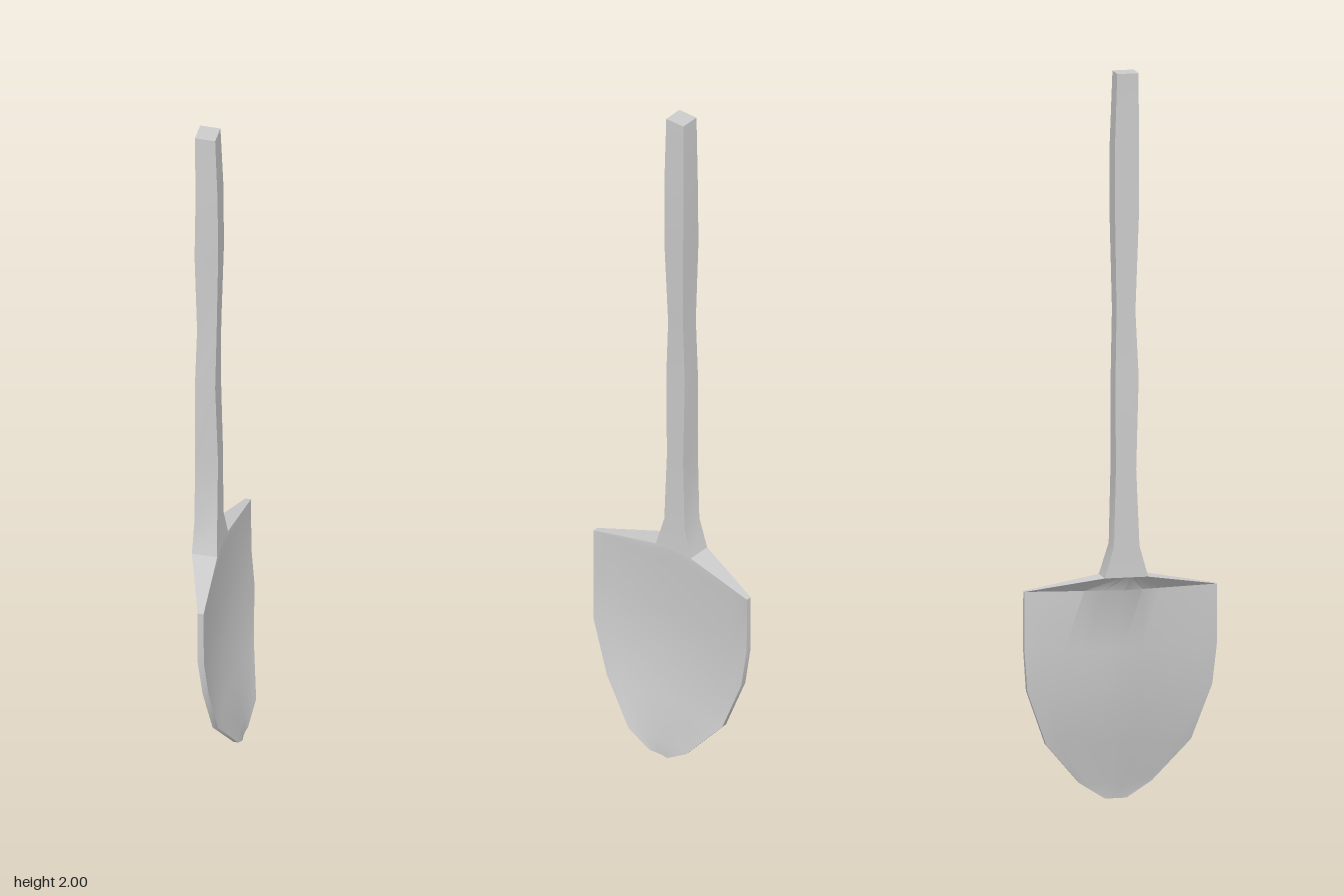
import * as THREE from 'three';
import { toCreasedNormals } from 'three/addons/utils/BufferGeometryUtils.js';

const material = new THREE.MeshStandardMaterial({ color: 0xcccccc });

// Loft through rows listed from top to bottom:
// [y, zMin, zMax, front x at edge, front x at centre, back x at edge, back x at centre]
function loft(rows, columns, capTop, capBottom, crease) {
  const positions = [], index = [], n = columns + 1, ring = 2 * n;
  for (const [y, z0, z1, frontEdge, frontMid, backEdge, backMid] of rows) {
    for (let j = 0; j < ring; j++) {
      const front = j < n;
      const t = front ? 1 - 2 * j / columns : -1 + 2 * (j - n) / columns;
      const x = front
        ? frontMid + (frontEdge - frontMid) * t * t
        : backMid + (backEdge - backMid) * Math.abs(t);
      positions.push(x, y, z0 + (z1 - z0) * (t + 1) / 2);
    }
  }
  for (let i = 0; i < rows.length - 1; i++) {
    for (let j = 0; j < ring; j++) {
      const k = (j + 1) % ring;
      const a = i * ring + j, b = i * ring + k, c = a + ring, d = b + ring;
      index.push(a, c, b, b, c, d);
    }
  }
  const last = (rows.length - 1) * ring;
  for (let j = 0; j < columns; j++) {
    const a = j, b = j + 1, c = ring - 2 - j, d = ring - 1 - j;
    if (capTop) index.push(a, b, c, a, c, d);
    if (capBottom) index.push(last + a, last + c, last + b, last + a, last + d, last + c);
  }
  const geometry = new THREE.BufferGeometry();
  geometry.setAttribute('position', new THREE.Float32BufferAttribute(positions, 3));
  geometry.setIndex(index);
  return toCreasedNormals(geometry, crease);
}

export function createModel() {
  const model = new THREE.Group();
  model.name = 'shovel';

  // Slightly uneven, square wooden shaft flaring into the collar: [y, zMin, zMax, xMin, xMax]
  const shaft = [
    [2.0, -0.025, 0.034, -0.068, -0.012],
    [1.8, -0.031, 0.035, -0.066, -0.005],
    [1.6, -0.031, 0.034, -0.069, -0.004],
    [1.35, -0.026, 0.026, -0.064, -0.01],
    [1.17, -0.03, 0.034, -0.068, -0.012],
    [0.92, -0.029, 0.027, -0.069, -0.006],
    [0.71, -0.034, 0.036, -0.069, -0.006],
    [0.625, -0.06, 0.06, -0.07, 0],
  ].map(([y, z0, z1, x0, x1]) => [y, z0, z1, x1, x1, x0, x0]);
  const handle = new THREE.Mesh(loft(shaft, 4, true, false, 0.7), material);
  handle.name = 'handle';
  model.add(handle);

  // Sloping shoulder and dished blade curving forward to a rounded tip
  const blade = [
    [0.625, 0.06, 0, 0, -0.07, -0.07],
    [0.585, 0.265, 0.013, 0, -0.003, -0.042],
    [0.42, 0.265, 0.014, -0.004, -0.003, -0.031],
    [0.31, 0.255, 0.025, 0.005, 0.008, -0.017],
    [0.16, 0.2, 0.037, 0.026, 0.022, 0.012],
    [0.045, 0.1, 0.068, 0.058, 0.055, 0.046],
    [0, 0.03, 0.063, 0.06, 0.056, 0.055],
  ].map(([y, w, ...xs]) => [y, -w, w, ...xs]);
  const bladeMesh = new THREE.Mesh(loft(blade, 10, false, true, 0.6), material);
  bladeMesh.name = 'blade';
  model.add(bladeMesh);

  return model;
}
